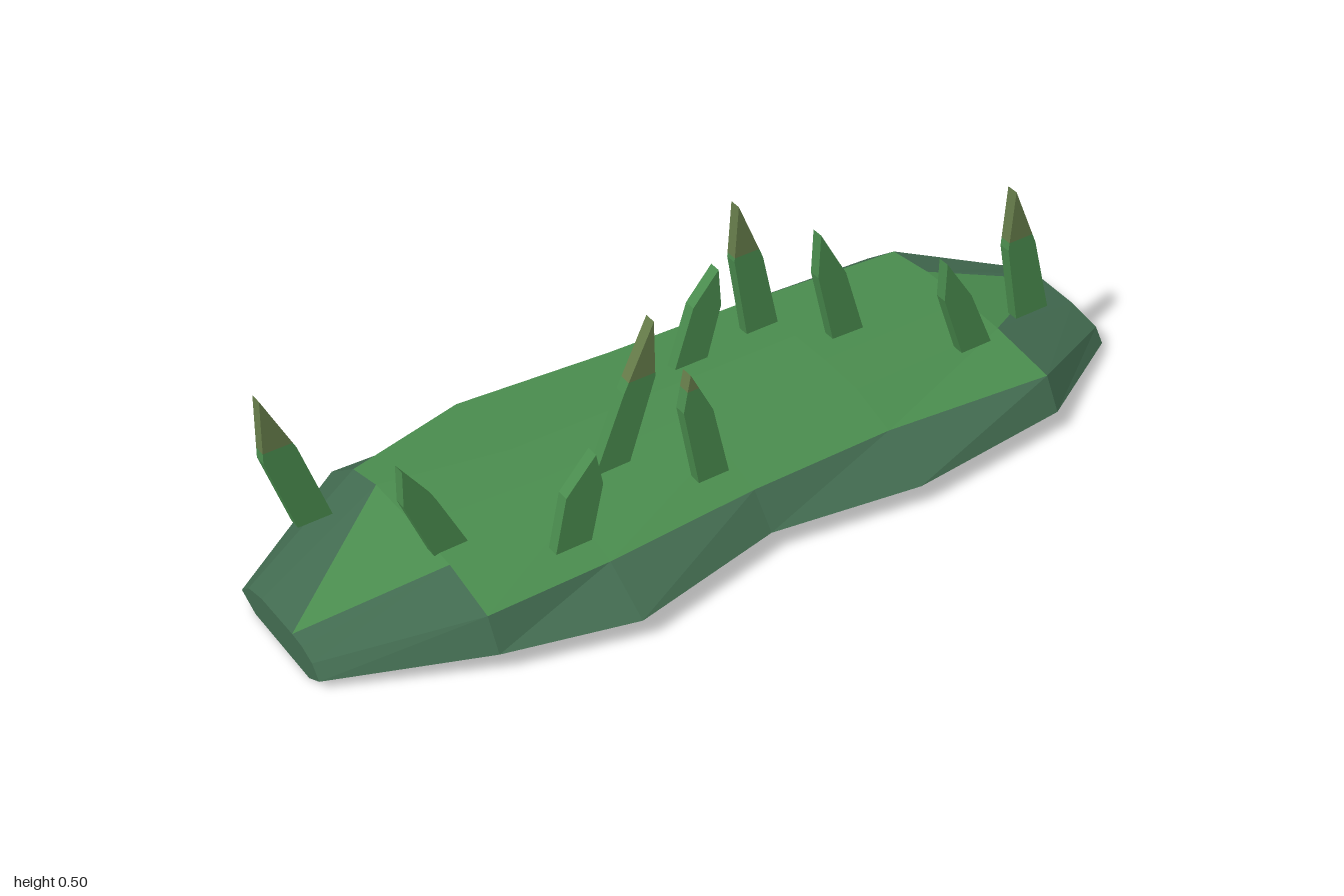
import * as THREE from 'three';

const mat = (name, color) => {
  const m = new THREE.MeshStandardMaterial({ color, flatShading: true, side: THREE.DoubleSide });
  m.name = name;
  return m;
};

function meshFrom(name, tris, material) {
  const g = new THREE.BufferGeometry();
  g.setAttribute('position', new THREE.Float32BufferAttribute(tris.flat(2), 3));
  g.computeVertexNormals();
  const mesh = new THREE.Mesh(g, material);
  mesh.name = name;
  return mesh;
}

// Each ring runs from the front bottom edge over the top to the back bottom edge.
const END_Y = [0, 0.025, 0.055, 0.07, 0.073, 0.07, 0.055, 0.025, 0];
const midY = (top) => [0, 0.055, 0.127, top - 0.005, top, top - 0.003, 0.133, 0.055, 0];
const RINGS = [
  { x: -1, y: END_Y, z: [0.1, 0.145, 0.12, 0.08, 0.04, -0.09, -0.15, -0.185, -0.13] },
  { x: -0.68, y: midY(0.162), z: [0.21, 0.305, 0.265, 0.12, -0.02, -0.18, -0.28, -0.385, -0.27] },
  { x: -0.39, y: midY(0.165), z: [0.24, 0.38, 0.262, 0.12, 0, -0.12, -0.35, -0.375, -0.265] },
  { x: -0.02, y: midY(0.17), z: [0.19, 0.302, 0.238, 0.11, 0, -0.11, -0.322, -0.362, -0.25] },
  { x: 0.33, y: midY(0.168), z: [0.23, 0.355, 0.236, 0.12, 0, -0.11, -0.31, -0.335, -0.235] },
  { x: 0.73, y: midY(0.153), z: [0.2, 0.318, 0.275, 0.1, -0.02, -0.155, -0.28, -0.378, -0.265] },
  { x: 1, y: END_Y, z: [0.1, 0.15, 0.125, 0.04, -0.07, -0.1, -0.155, -0.185, -0.13] },
];

// Faceted ground slab: grass over the top, mossy flanks and underside
function buildGround(grass, moss) {
  const rings = RINGS.map((r) => r.z.map((z, j) => [r.x, r.y[j], z]));
  const green = [];
  const dark = [];
  const last = rings.length - 2;
  for (let i = 0; i <= last; i++) {
    for (let j = 0; j < 9; j++) {
      const k = (j + 1) % 9;
      const a = rings[i][j], b = rings[i + 1][j], c = rings[i + 1][k], d = rings[i][k];
      const crown = j === 3 || j === 4;
      if (i === 0 && crown) {
        // grass narrows to a point at each end
        if (j === 3) { green.push([b, c, d]); dark.push([a, b, d]); }
        else { green.push([a, b, c]); dark.push([a, c, d]); }
      } else if (i === last && crown) {
        if (j === 3) { green.push([a, c, d]); dark.push([a, b, c]); }
        else { green.push([a, b, d]); dark.push([b, c, d]); }
      } else {
        const inner = i > 0 && i < last && j >= 2 && j <= 5;
        (inner ? green : dark).push([a, b, c], [a, c, d]);
      }
    }
  }
  // end caps
  const lo = rings[0], hi = rings[last + 1];
  for (let j = 1; j < 8; j++) {
    dark.push([lo[0], lo[j], lo[j + 1]], [hi[0], hi[j + 1], hi[j]]);
  }
  const ground = new THREE.Group();
  ground.name = 'ground';
  ground.add(meshFrom('grassTop', green, grass), meshFrom('mossySides', dark, moss));
  return ground;
}

// Blades: z, base left/right x, left kink, right kink, tip, optional height where the dry tip begins
const BLADES = [
  { z: -0.17, base: [-0.875, -0.795], left: [-0.935, 0.345], right: [-0.86, 0.355], tip: [-0.93, 0.5], dry: 0.37 },
  { z: 0.065, base: [-0.69, -0.61], left: [-0.752, 0.31], right: [-0.68, 0.3], tip: [-0.75, 0.398] },
  { z: 0.195, base: [-0.485, -0.4], left: [-0.457, 0.285], right: [-0.37, 0.285], tip: [-0.385, 0.365] },
  { z: 0.041, base: [-0.298, -0.212], left: [-0.22, 0.345], right: [-0.143, 0.36], tip: [-0.145, 0.5], dry: 0.37 },
  { z: 0.167, base: [-0.12, -0.045], left: [-0.157, 0.35], right: [-0.085, 0.33], tip: [-0.14, 0.44], dry: 0.4 },
  { z: -0.173, base: [0.045, 0.13], left: [0.095, 0.305], right: [0.167, 0.285], tip: [0.16, 0.38] },
  { z: -0.2, base: [0.255, 0.338], left: [0.22, 0.36], right: [0.295, 0.345], tip: [0.23, 0.5], dry: 0.37 },
  { z: -0.068, base: [0.395, 0.477], left: [0.348, 0.345], right: [0.422, 0.33], tip: [0.352, 0.455] },
  { z: 0.118, base: [0.605, 0.685], left: [0.548, 0.315], right: [0.622, 0.3], tip: [0.55, 0.41] },
  { z: 0.086, base: [0.782, 0.87], left: [0.745, 0.35], right: [0.82, 0.345], tip: [0.755, 0.5], dry: 0.37 },
];

// Point at height y on the segment from p up to q
const cut = (p, q, y) => [p[0] + ((q[0] - p[0]) * (y - p[1])) / (q[1] - p[1]), y];

function slab(name, outline, z, material) {
  const depth = 0.028;
  const shape = new THREE.Shape(outline.map((p) => new THREE.Vector2(p[0], p[1])));
  const g = new THREE.ExtrudeGeometry(shape, { depth, bevelEnabled: false });
  g.translate(0, 0, z - depth / 2);
  const mesh = new THREE.Mesh(g, material);
  mesh.name = name;
  return mesh;
}

function buildBlade({ z, base, left, right, tip, dry }, leaf, dryLeaf) {
  const blade = new THREE.Group();
  blade.name = 'grassBlade';
  const foot = [[base[0], 0.152], [base[1], 0.152]];
  if (dry) {
    const l = cut(left, tip, dry), r = cut(right, tip, dry);
    blade.add(slab('stalk', [...foot, right, r, l, left], z, leaf));
    blade.add(slab('dryTip', [l, r, tip], z, dryLeaf));
  } else {
    blade.add(slab('stalk', [...foot, right, tip, left], z, leaf));
  }
  return blade;
}

export function createModel() {
  const grass = mat('grass green', 0x4a8c4e);
  const moss = mat('dark moss', 0x426b50);
  const dry = mat('dry olive', 0x667c4a);
  const model = new THREE.Group();
  model.name = 'grassPatch';
  model.add(buildGround(grass, moss));
  for (const b of BLADES) model.add(buildBlade(b, grass, dry));
  return model;
}
